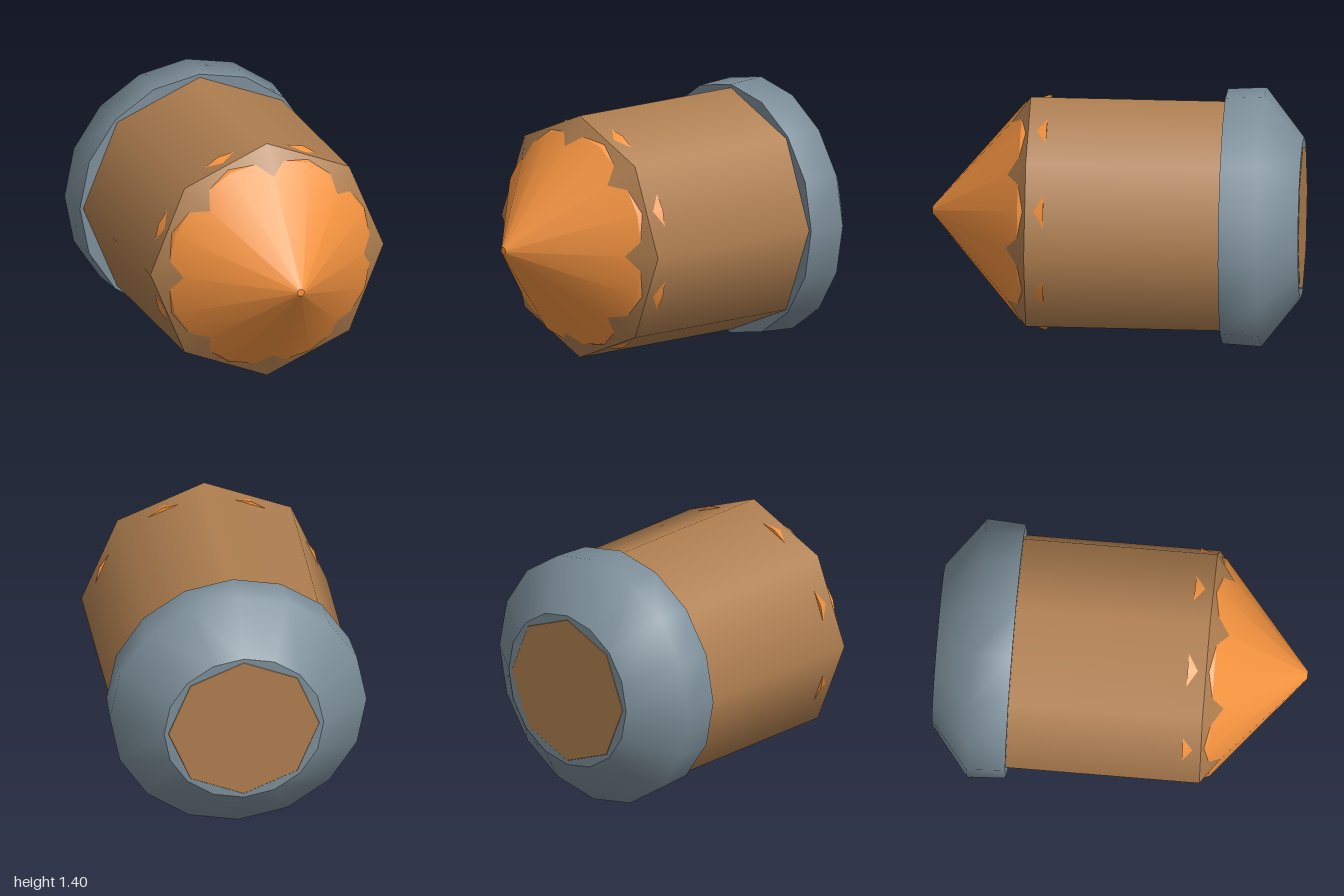
import * as THREE from 'three';
import { mergeGeometries } from 'three/addons/utils/BufferGeometryUtils.js';

// Turns [radius, z] profiles (back to front) around the z axis; separate profiles meet in sharp edges.
function turned(name, color, sides, ...profiles) {
  const parts = profiles.map((p) =>
    new THREE.LatheGeometry(p.map(([r, z]) => new THREE.Vector2(r, z)), sides).rotateX(Math.PI / 2));
  const mesh = new THREE.Mesh(mergeGeometries(parts), new THREE.MeshStandardMaterial({ color }));
  mesh.name = name;
  mesh.position.y = 0.7;
  return mesh;
}

export function createModel() {
  const group = new THREE.Group();
  group.name = 'bullet';

  // Eight-sided casing with a chamfered front and a narrowed, flat back
  group.add(turned('casing', 0xb07f50, 8,
    [[0, -1], [0.41, -1]],
    [[0.41, -1], [0.67, -0.76]],
    [[0.67, -0.76], [0.67, 0.47]],
    [[0.67, 0.47], [0.5, 0.587]],
    [[0.5, 0.587], [0, 0.587]]));

  // Sixteen-sided pointed nose, its base just breaking through the casing's flats
  group.add(turned('nose', 0xf69440, 16,
    [[0, 0.37], [0.637, 0.37]],
    [[0.637, 0.37], [0.59, 0.513]],
    [[0.59, 0.513], [0.02, 1]],
    [[0.02, 1], [0, 1]]));

  // Flared end cap around the back of the casing
  group.add(turned('endCap', 0x7c8e99, 16,
    [[0, -0.998], [0.435, -0.998]],
    [[0.435, -0.998], [0.7, -0.79], [0.688, -0.58]],
    [[0.688, -0.58], [0.6, -0.58]]));

  return group;
}
